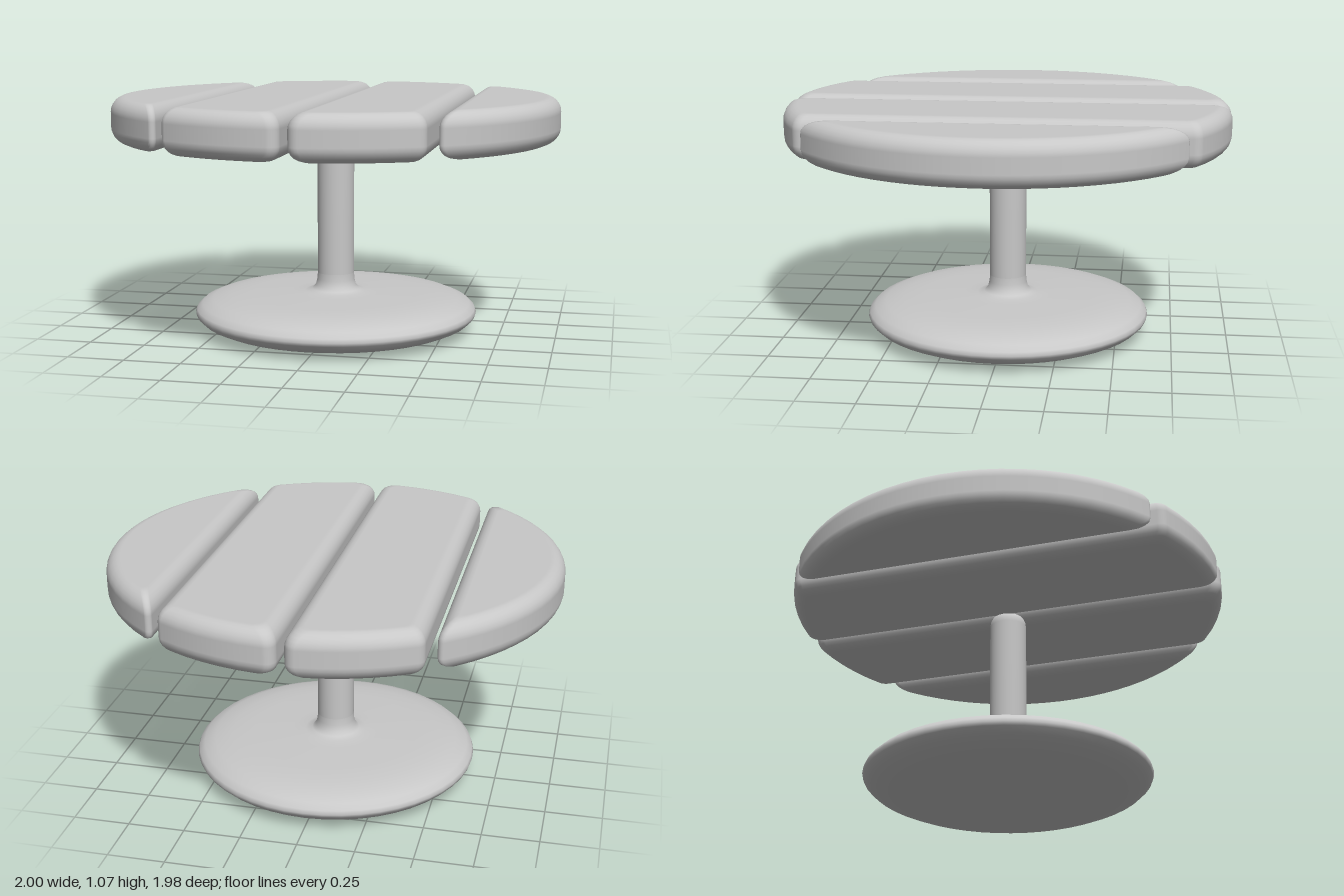
import * as THREE from 'three';

const grey = new THREE.MeshStandardMaterial({ color: 0xc8c8c8 });
grey.name = 'grey';

const RADIUS = 1, DEPTH = 0.99; // round top, very slightly shallower in z
const BOTTOM = 0.875, TOP = 1.072;
const EDGE = 0.065; // rounding of the plank edges

// Outline of a plank cut from the disc between x = a and x = b,
// inset by d, with corners of radius c. Returns [x, z, normal angle] entries.
function outline(a, b, c, d, arcSteps) {
  const k = c + d, R = RADIUS - k, x0 = a + k, x1 = Math.min(b - k, R);
  const t1 = Math.acos(x1 / R), t0 = Math.acos(x0 / R), full = Math.PI * 2;
  const pts = [];
  const add = (coreAngle, normalAngle) => pts.push([
    R * Math.cos(coreAngle) + c * Math.cos(normalAngle),
    (R * Math.sin(coreAngle) + c * Math.sin(normalAngle)) * DEPTH,
    normalAngle,
  ]);
  const arc = (from, to) => {
    for (let i = 0; i <= arcSteps; i++) {
      const t = from + (to - from) * i / arcSteps;
      add(t, t);
    }
  };
  const corner = (core, from, to) => {
    for (let i = 0; i <= 6; i++) add(core, from + (to - from) * i / 6);
  };
  arc(t1, t0);
  corner(t0, t0, Math.PI);
  corner(-t0, Math.PI, full - t0);
  arc(full - t0, full - t1);
  if (t1 > 0) {
    corner(-t1, full - t1, full);
    corner(t1, full, full + t1);
  }
  return pts;
}

// Stack inset outlines into a plank with rounded edges and flat faces
function plankGeometry(a, b, c, arcSteps) {
  const pos = [], nor = [], idx = [], steps = 6, rings = [];
  for (let i = 0; i <= steps; i++) rings.push([-Math.PI / 2 * (1 - i / steps), BOTTOM + EDGE]);
  for (let i = 0; i <= steps; i++) rings.push([Math.PI / 2 * i / steps, TOP - EDGE]);
  let n = 0;
  for (const [t, y] of rings) {
    const ring = outline(a, b, c, EDGE * (1 - Math.cos(t)), arcSteps);
    n = ring.length;
    for (const [x, z, angle] of ring) {
      pos.push(x, y + EDGE * Math.sin(t), z);
      nor.push(Math.cos(angle) * Math.cos(t), Math.sin(t), Math.sin(angle) * Math.cos(t));
    }
  }
  for (let j = 0; j < rings.length - 1; j++) {
    for (let i = 0; i < n; i++) {
      const p = j * n + i, q = j * n + (i + 1) % n;
      idx.push(p, p + n, q, q, p + n, q + n);
    }
  }
  // flat faces
  const low = pos.length / 3, high = low + 1, last = (rings.length - 1) * n;
  pos.push((a + b) / 2, BOTTOM, 0, (a + b) / 2, TOP, 0);
  nor.push(0, -1, 0, 0, 1, 0);
  for (let i = 0; i < n; i++) {
    const k = (i + 1) % n;
    idx.push(low, i, k, high, last + k, last + i);
  }
  const g = new THREE.BufferGeometry();
  g.setAttribute('position', new THREE.Float32BufferAttribute(pos, 3));
  g.setAttribute('normal', new THREE.Float32BufferAttribute(nor, 3));
  g.setIndex(idx);
  return g;
}

function lathe(name, points) {
  const g = new THREE.LatheGeometry(points.map(([x, y]) => new THREE.Vector2(x, y)), 48);
  const mesh = new THREE.Mesh(g, grey);
  mesh.name = name;
  return mesh;
}

export function createModel() {
  const table = new THREE.Group();
  table.name = 'roundPlankTable';

  // Foot disc with a fillet rising into the column
  table.add(lathe('footDisc', [
    [0, 0], [0.38, 0.002], [0.48, 0.01], [0.56, 0.026], [0.61, 0.048], [0.635, 0.072],
    [0.641, 0.088], [0.635, 0.105], [0.61, 0.128], [0.56, 0.148], [0.48, 0.162],
    [0.38, 0.169], [0.2, 0.174], [0.14, 0.177], [0.108, 0.185], [0.092, 0.202],
    [0.085, 0.23], [0.083, 0.26],
  ]));

  // Column with a rounded head
  table.add(lathe('column', [
    [0.083, 0.26], [0.083, 0.5], [0.083, 0.835], [0.08, 0.858], [0.071, 0.876],
    [0.057, 0.886], [0.04, 0.889], [0, 0.889],
  ]));

  // Planks, repeated on the other side by a half turn
  const inner = plankGeometry(0.015, 0.535, 0.045, 5);
  const outer = plankGeometry(0.575, RADIUS + 0.1, 0.018, 10);
  for (const side of ['left', 'right']) {
    for (const [name, geometry] of [['InnerPlank', inner], ['OuterPlank', outer]]) {
      const plank = new THREE.Mesh(geometry, grey);
      plank.name = side + name;
      if (side === 'right') plank.rotation.y = Math.PI;
      table.add(plank);
    }
  }
  return table;
}
